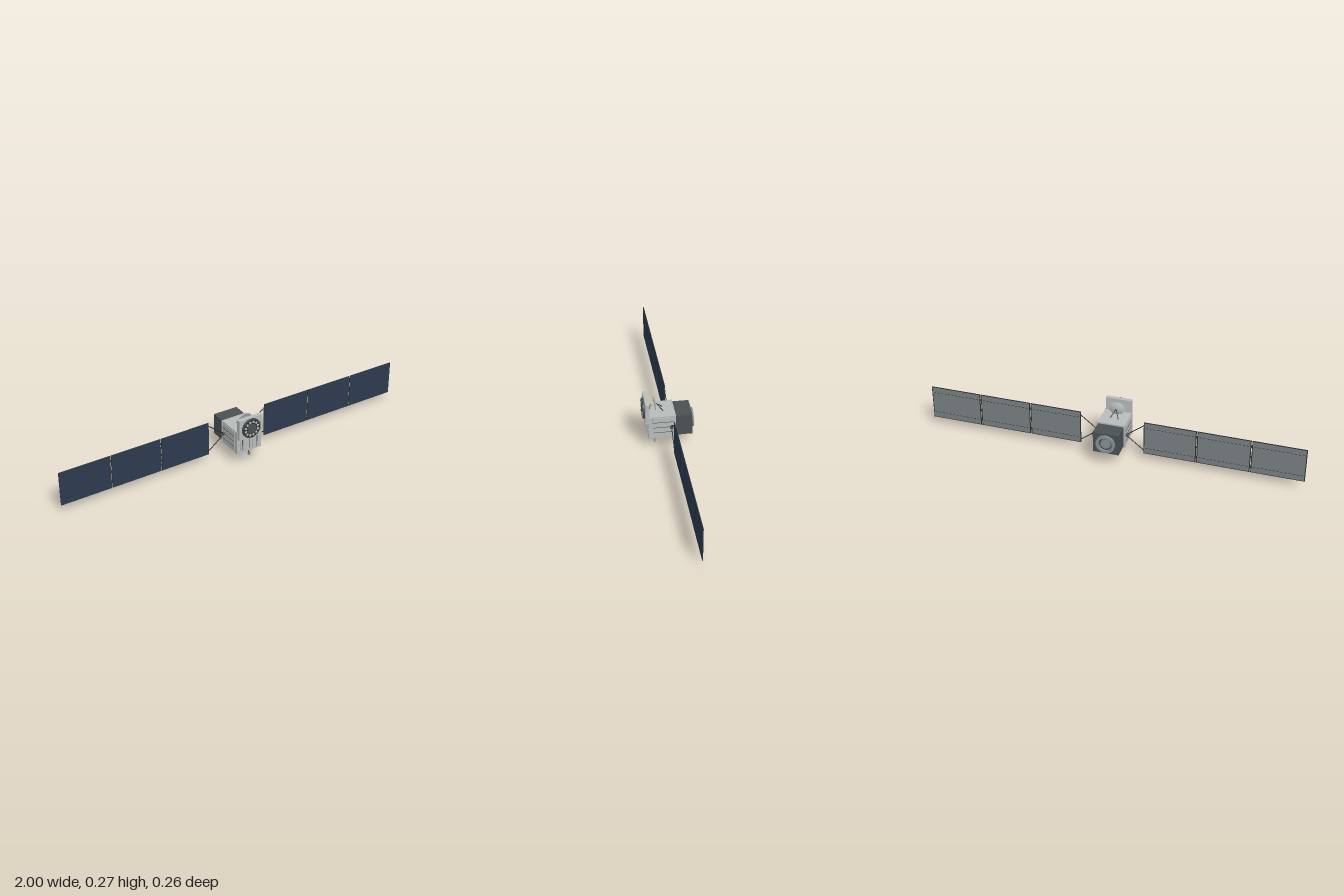
import * as THREE from 'three';
import { mergeGeometries } from 'three/addons/utils/BufferGeometryUtils.js';

const mat = (name, color, side = THREE.FrontSide) => {
  const m = new THREE.MeshStandardMaterial({ color, side });
  m.name = name;
  return m;
};

export function createModel() {
  const hull = mat('hullGrey', 0xb8bcbb);
  const dishGrey = mat('dishGrey', 0xb4b8b8, THREE.DoubleSide);
  const dark = mat('serviceDark', 0x4a5254);
  const black = mat('strutDark', 0x2b3032);
  const cell = mat('solarBlue', 0x2c3a4f);
  const back = mat('panelBackGrey', 0x7a8084);
  const steel = mat('ringSteel', 0x8a9096);
  const gold = mat('feedGold', 0xb8862e);

  const model = new THREE.Group();
  model.name = 'satellite';
  const CY = 0.139, WING_Z = -0.011;

  const add = (name, geometry, material, parent = model) => {
    const m = new THREE.Mesh(geometry, material);
    m.name = name;
    parent.add(m);
    return m;
  };
  const boxGeo = (x, y, z, w, h, d) => new THREE.BoxGeometry(w, h, d).translate(x, y, z);
  const box = (name, material, x, y, z, w, h, d, parent) =>
    add(name, boxGeo(x, y, z, w, h, d), material, parent);
  // Disc lying across the z axis
  const disc = (name, material, x, y, z, r, depth) =>
    add(name, new THREE.CylinderGeometry(r, r, depth, 40).rotateX(Math.PI / 2).translate(x, y, z), material);
  const rod = (name, material, a, b, r, parent = model) => {
    const p = new THREE.Vector3(...a), q = new THREE.Vector3(...b);
    const m = add(name, new THREE.CylinderGeometry(r, r, p.distanceTo(q), 8), material, parent);
    m.position.copy(p).lerp(q, 0.5);
    m.quaternion.setFromUnitVectors(new THREE.Vector3(0, 1, 0), q.sub(p).normalize());
    return m;
  };

  // Main body with rear flange and front face plate
  box('body', hull, 0, CY, 0.037, 0.144, 0.126, 0.138);
  box('rearFlange', hull, 0, CY, -0.031, 0.152, 0.13, 0.006);
  box('frontFlange', hull, 0, CY, 0.103, 0.148, 0.128, 0.006);
  box('facePlate', hull, 0, 0.132, 0.108, 0.11, 0.086, 0.005);
  for (const s of [-1, 1]) {
    box('faceStrip', hull, s * 0.026, 0.125, 0.112, 0.022, 0.064, 0.003);
    box('faceGroove', dark, s * 0.044, 0.125, 0.1108, 0.004, 0.07, 0.001);
    box('sidePlate', hull, s * 0.0725, CY, 0.035, 0.005, 0.11, 0.1);
    for (const y of [-0.03, 0, 0.03])
      box('sideRib', dark, s * 0.0755, CY + y, 0.03, 0.002, 0.002, 0.106);
  }
  box('faceCentreGroove', dark, 0, 0.125, 0.1108, 0.004, 0.07, 0.001);

  // Service module with docking ring at the back
  box('serviceModule', dark, 0, 0.1385, -0.077, 0.136, 0.115, 0.086);
  const ring = [[0.036, 0], [0.036, 0.011], [0.05, 0.011], [0.05, 0]]
    .map(([r, y]) => new THREE.Vector2(r, y)).reverse();
  const ringPoints = ring.flatMap((p, i) => (i === 0 || i === 3 ? [p] : [p, p.clone()]));
  const ringMat = mat('ringSteelOpen', 0x8a9096, THREE.DoubleSide);
  add('dockingRing', new THREE.LatheGeometry(ringPoints, 40).rotateX(-Math.PI / 2).translate(0, 0.138, -0.12), ringMat);
  disc('ringFloor', dark, 0, 0.138, -0.1205, 0.036, 0.002);
  disc('engineCap', steel, 0, 0.138, -0.122, 0.027, 0.004);

  // Upright instrument panel and round sensor with a ring of tiles
  const SY = 0.216;
  box('instrumentPanel', hull, 0, 0.2165, 0.11, 0.138, 0.113, 0.021);
  disc('sensorDisc', dark, 0, SY, 0.124, 0.054, 0.01);
  disc('sensorRing', black, 0, SY, 0.1292, 0.05, 0.002);
  disc('sensorCentre', dark, 0, SY, 0.13, 0.027, 0.004);
  const tiles = [], studs = [];
  for (let i = 0; i < 12; i++) {
    const a = (i + 0.5) * Math.PI / 6;
    tiles.push(boxGeo(0, 0.037, 0.1305, 0.012, 0.011, 0.002).rotateZ(a).translate(0, SY, 0));
    studs.push(boxGeo(0, 0.049, 0.13, 0.01, 0.006, 0.004).rotateZ(a).translate(0, SY, 0));
  }
  add('sensorTiles', mergeGeometries(tiles), hull);
  add('sensorStuds', mergeGeometries(studs), dark);

  // Dish antennas above and below, each with a feed horn on a boom
  const dishProfile = [];
  for (let i = 0; i <= 8; i++) dishProfile.push(new THREE.Vector2(i / 8, 0.009 * (i / 8) ** 2));
  for (const s of [1, -1]) {
    const antenna = new THREE.Group();
    antenna.name = s > 0 ? 'upperAntenna' : 'lowerAntenna';
    model.add(antenna);
    const at = (y) => CY + s * y;
    const dish = add('dish', new THREE.LatheGeometry(dishProfile, 32)
      .scale(0.043, 1, 0.0335).rotateX(Math.PI / 2), dishGrey, antenna);
    dish.position.set(0, at(0.1), 0.0585);
    dish.rotation.x = s * 0.11;
    for (const x of [-1, 1])
      rod('dishStrut', black, [0, at(0.099), 0.058], [x * 0.022, at(0.062), 0.022], 0.002, antenna);
    rod('feedBoom', black, [0, at(0.06), 0.094], [0.012, at(0.098), 0.09], 0.0025, antenna);
    box('feedHorn', gold, 0.012, at(0.099), 0.088, 0.011, 0.008, 0.012, antenna);
  }

  // Solar wings, each with a hub, a V yoke and three panels
  for (const s of [1, -1]) {
    const wing = new THREE.Group();
    wing.name = s > 0 ? 'leftWing' : 'rightWing';
    model.add(wing);
    const hub = add('wingHub', new THREE.CylinderGeometry(0.009, 0.009, 0.014, 20).rotateZ(Math.PI / 2), dark, wing);
    hub.position.set(s * 0.078, CY, WING_Z);
    for (const v of [-1, 1])
      rod('yokeArm', black, [s * 0.08, CY + v * 0.005, WING_Z], [s * 0.17, CY + v * 0.075, WING_Z], 0.0025, wing);
    const H = 0.186, W = 0.2745, dashes = [];
    for (let i = 0; i < 3; i++) {
      const x = s * (0.168 + W / 2 + i * 0.2785);
      box('panelCore', black, x, CY, WING_Z, W, H, 0.003, wing);
      box('solarCells', cell, x, CY, WING_Z + 0.002, W - 0.002, H - 0.002, 0.001, wing);
      box('panelBack', back, x, CY, WING_Z - 0.002, W - 0.009, H - 0.008, 0.001, wing);
      for (let k = 0; k < 13; k++)
        for (const v of [-1, 1])
          dashes.push(boxGeo(x + (k - 6) * 0.02, CY + v * 0.06, WING_Z - 0.0027, 0.01, 0.003, 0.0006));
    }
    add('panelDashes', mergeGeometries(dashes), black, wing);
    for (let i = 1; i < 3; i++)
      for (const v of [-1, 0, 1])
        box('panelHinge', black, s * (0.166 + i * 0.2785), CY + v * 0.06, WING_Z - 0.002, 0.009, 0.012, 0.003, wing);
  }
  return model;
}
